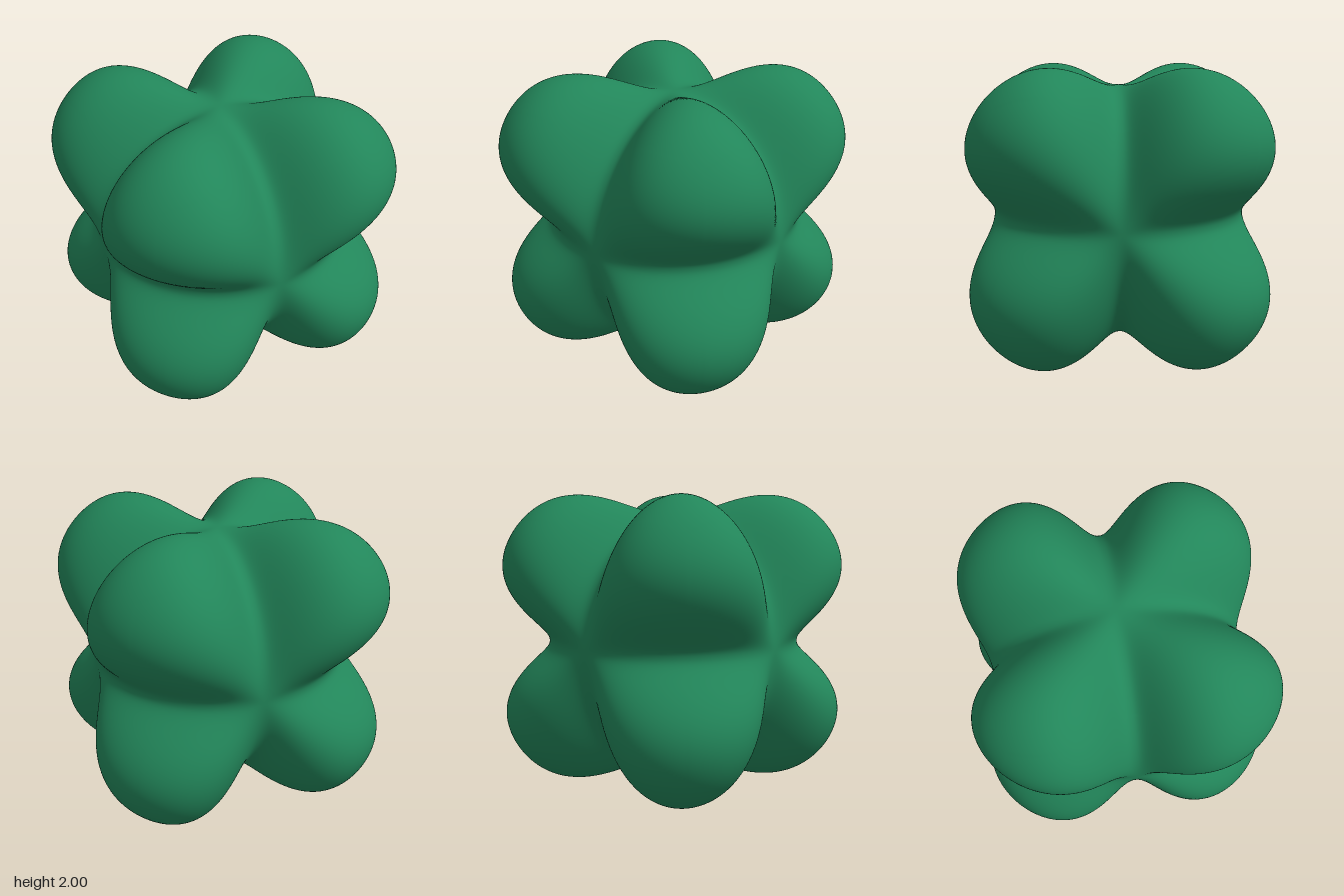
import * as THREE from 'three';
import { mergeVertices } from 'three/addons/utils/BufferGeometryUtils.js';

const BASE = 0.87;   // radius along the three circular grooves
const LOBE = 0.467;  // extra radius at the eight lobe tips
const ROUND = 1.2;   // how much the lobe tips are rounded off

// Radius in a unit direction: low on the coordinate planes, high at the cube corners
function radius(d) {
  const inv = (c) => 1 / Math.max(Math.abs(c), 1e-6);
  // harmonic mean of the distances to the three planes: 0 in a groove, 1 at a tip
  const u = 3 * Math.sqrt(3) / (inv(d.x) + inv(d.y) + inv(d.z));
  return BASE + LOBE * Math.sin(ROUND * Math.pow(u, 2.6)) / Math.sin(ROUND);
}

// Subdivided cube puffed into a sphere, then pushed out into eight lobes
function lobedGeometry(segments) {
  const box = new THREE.BoxGeometry(2, 2, 2, segments, segments, segments);
  box.deleteAttribute('normal');
  box.deleteAttribute('uv');
  const geo = mergeVertices(box, 1e-5);
  geo.clearGroups();
  const pos = geo.attributes.position;
  const d = new THREE.Vector3();
  const even = (c) => Math.tan(c * Math.PI / 4); // even angular spacing
  for (let i = 0; i < pos.count; i++) {
    d.fromBufferAttribute(pos, i);
    d.set(even(d.x), even(d.y), even(d.z)).normalize();
    d.multiplyScalar(radius(d));
    pos.setXYZ(i, d.x, d.y + 1, d.z);
  }
  geo.computeVertexNormals();
  return geo;
}

export function createModel() {
  const green = new THREE.MeshStandardMaterial({ color: 0x22865a });
  green.name = 'green';

  const body = new THREE.Mesh(lobedGeometry(80), green);
  body.name = 'eightLobedBody';

  const model = new THREE.Group();
  model.name = 'lobedSolid';
  model.add(body);
  return model;
}
